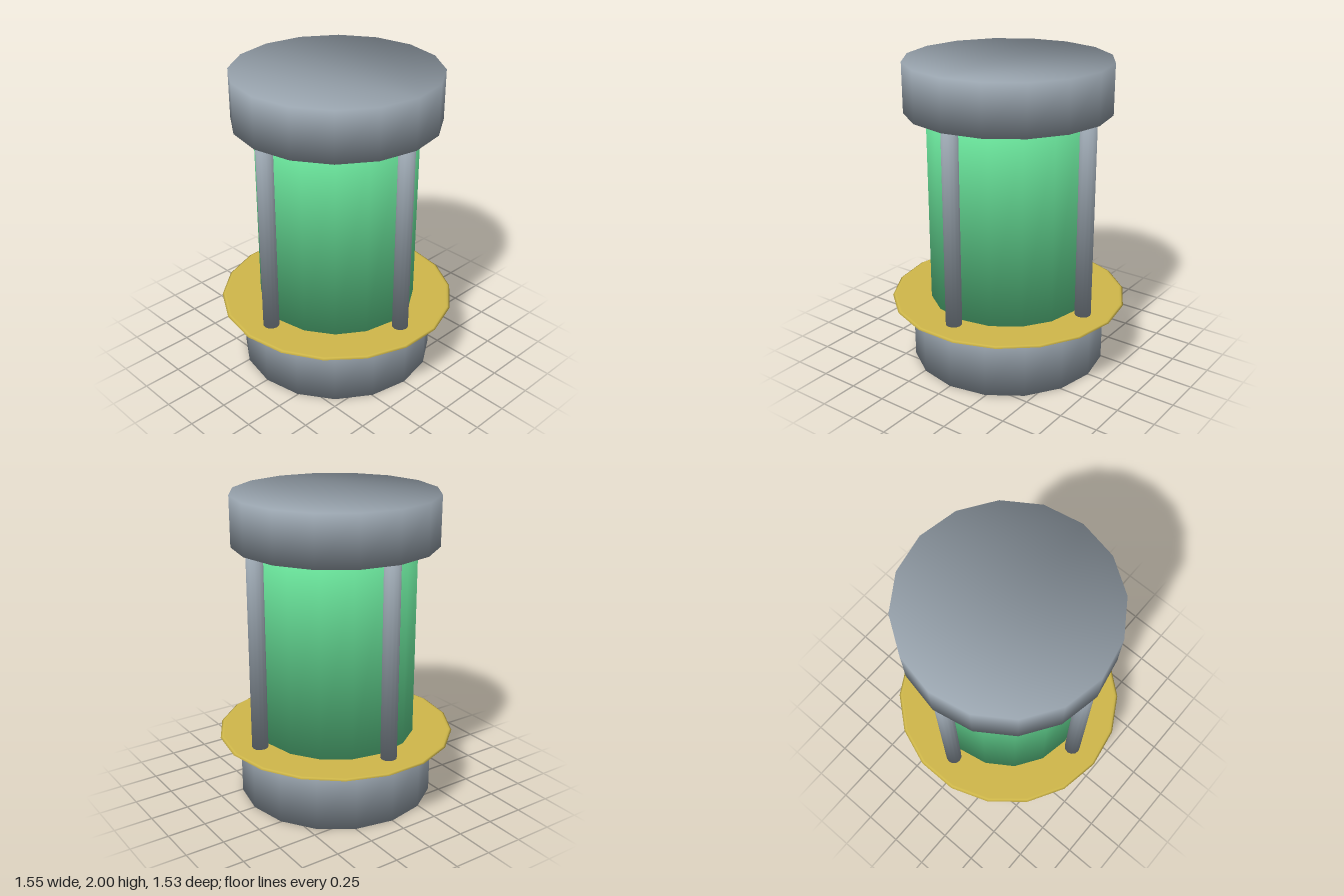
import * as THREE from 'three';

const steel = new THREE.MeshStandardMaterial({ name: 'steelGrey', color: 0x98a3ad });
const glass = new THREE.MeshStandardMaterial({ name: 'liquidGreen', color: 0x66dd96 });
const brass = new THREE.MeshStandardMaterial({ name: 'brassYellow', color: 0xd0b84a });

// Prism whose caps and sides share vertices, so shading rolls over the rims
function softPrism(radius, y0, y1, sides) {
  const pos = [], normals = [], index = [];
  for (let i = 0; i < sides; i++) {
    const a = (i / sides) * Math.PI * 2, x = Math.sin(a), z = Math.cos(a);
    pos.push(x * radius, y0, z * radius, x * radius, y1, z * radius);
    normals.push(x * Math.SQRT1_2, -Math.SQRT1_2, z * Math.SQRT1_2);
    normals.push(x * Math.SQRT1_2, Math.SQRT1_2, z * Math.SQRT1_2);
    const b = 2 * i, c = 2 * ((i + 1) % sides);
    index.push(b, c, c + 1, b, c + 1, b + 1);
    if (i > 0 && i < sides - 1) index.push(1, b + 1, c + 1, 0, c, b);
  }
  const g = new THREE.BufferGeometry();
  g.setAttribute('position', new THREE.Float32BufferAttribute(pos, 3));
  g.setAttribute('normal', new THREE.Float32BufferAttribute(normals, 3));
  g.setIndex(index);
  return g;
}

export function createModel() {
  const model = new THREE.Group();
  model.name = 'canister';
  const add = (name, geometry, material) => {
    const mesh = new THREE.Mesh(geometry, material);
    mesh.name = name;
    model.add(mesh);
    return mesh;
  };

  // Main stacked drums
  add('base', softPrism(0.638, 0, 0.415, 16), steel);
  add('tank', softPrism(0.518, 0.415, 1.69, 16), glass);
  add('topCap', softPrism(0.656, 1.68, 2, 16), steel);

  // Thin flange with a bevelled rim
  const profile = [[0, 0.41], [0.75, 0.41], [0.762, 0.411], [0.775, 0.4175], [0.762, 0.424], [0.75, 0.425], [0, 0.425]]
    .map(([r, y]) => new THREE.Vector2(r, y));
  add('flange', new THREE.LatheGeometry(profile, 18, Math.PI / 2), brass);

  // Four support rods around the tank
  const rod = softPrism(0.052, 0.415, 1.69, 12);
  for (let i = 0; i < 4; i++) {
    const a = (i * Math.PI) / 2;
    add('supportRod' + (i + 1), rod, steel).position.set(Math.sin(a) * 0.583, 0, Math.cos(a) * 0.583);
  }
  return model;
}
